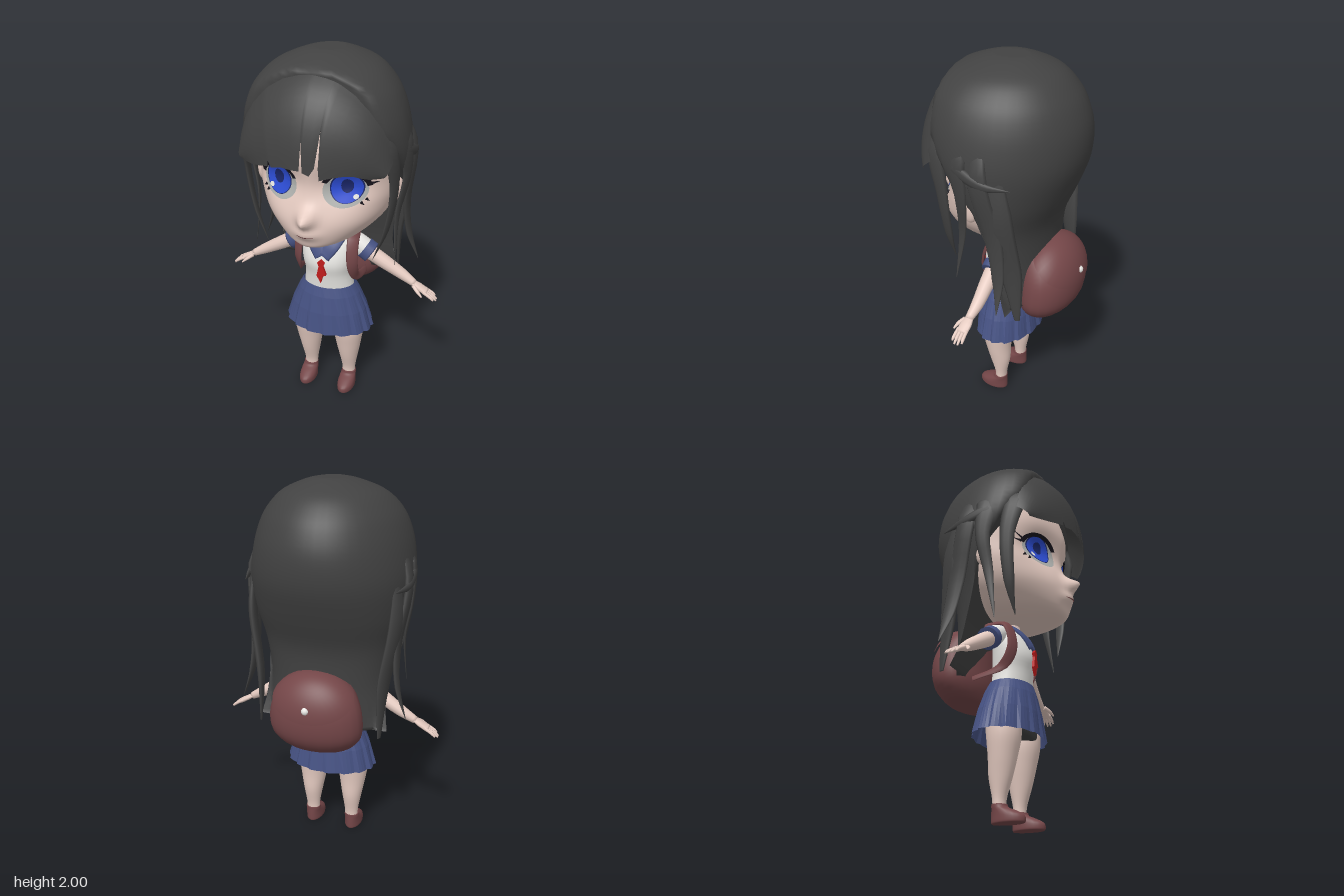
import * as THREE from 'three';

const V = (x, y, z) => new THREE.Vector3(x, y, z);
const paint = (name, color, side = THREE.FrontSide) => {
  const m = new THREE.MeshStandardMaterial({ color, side });
  m.name = name;
  return m;
};

export function createModel() {
  const model = new THREE.Group();
  model.name = 'schoolgirl';
  const hair = paint('charcoal hair', 0x424242, THREE.DoubleSide);
  const skin = paint('skin', 0xe5cbc1);
  const white = paint('shirt white', 0xefeeea);
  const navy = paint('uniform navy', 0x465283, THREE.DoubleSide);
  const brown = paint('leather brown', 0x744648);
  const red = paint('scarf red', 0xc01c1c);
  const grey = paint('eye grey', 0xadafac);
  const blue = paint('iris blue', 0x2c4cd2);
  const dark = paint('pupil blue', 0x1a2668);
  const black = paint('lash black', 0x17141c);

  const add = (name, geo, mat) => {
    const mesh = new THREE.Mesh(geo, mat);
    mesh.name = name;
    model.add(mesh);
    return mesh;
  };

  // Skin a list of closed rings, facing outwards
  function loft(rings, caps = true, flat = false) {
    const n = rings[0].length, pts = rings.flat(), idx = [];
    for (let r = 0; r < rings.length - 1; r++)
      for (let i = 0; i < n; i++) {
        const a = r * n + i, b = r * n + (i + 1) % n;
        idx.push(a, b, a + n, b, b + n, a + n);
      }
    if (caps) [0, rings.length - 1].forEach((r) => {
      const c = V(0, 0, 0);
      rings[r].forEach((p) => c.addScaledVector(p, 1 / n));
      const k = pts.push(c) - 1;
      for (let i = 0; i < n; i++) {
        const a = r * n + i, b = r * n + (i + 1) % n;
        if (r) idx.push(a, b, k); else idx.push(b, a, k);
      }
    });
    const mid = pts.reduce((s, p) => s.addScaledVector(p, 1 / pts.length), V(0, 0, 0));
    const q = (i) => pts[idx[i]].clone().sub(mid);
    let vol = 0;
    for (let i = 0; i < idx.length; i += 3) vol += q(i).dot(q(i + 1).cross(q(i + 2)));
    if (vol < 0) idx.reverse();
    let g = new THREE.BufferGeometry().setFromPoints(pts);
    g.setIndex(idx);
    if (flat) g = g.toNonIndexed();
    g.computeVertexNormals();
    return g;
  }

  // Smoothly subdivide rows of numbers
  function refine(rows, k = 4) {
    const at = (i) => rows[Math.max(0, Math.min(rows.length - 1, i))], out = [];
    for (let i = 0; i < rows.length - 1; i++)
      for (let j = 0; j < k; j++) {
        const t = j / k;
        out.push(rows[i].map((b, c) => {
          const a = at(i - 1)[c], d = at(i + 2)[c], e = at(i + 1)[c];
          return 0.5 * (2 * b + (e - a) * t + (2 * a - 5 * b + 4 * e - d) * t * t + (3 * b - a - 3 * e + d) * t ** 3);
        }));
      }
    return [...out, rows[rows.length - 1]];
  }

  // Horizontal ring from [y, half width, front z, back z, z of widest point, front limit]
  const ring = ([y, rx, zf, zb, cz = (zf + zb) / 2, clip = 9], n = 24, cx = 0) =>
    Array.from({ length: n }, (_, i) => {
      const a = i / n * Math.PI * 2, s = Math.sin(a);
      return V(cx + rx * Math.cos(a), y, Math.min(clip, cz + s * (s > 0 ? zf - cz : cz - zb)));
    });
  const body = (name, rows, mat, cx = 0, n = 24) =>
    add(name, loft(refine(rows).map((r) => ring(r, n, cx))), mat);

  // Flattened tapering tube; widths run along it, ratio sets its thickness, up its flat side
  function strand(name, pts, widths, ratio, up, mat, s = 1, sides = 10) {
    const curve = new THREE.CatmullRomCurve3(pts.map((p) => V(p[0] * s, p[1], p[2])));
    const N = V(up[0] * s, up[1], up[2]), steps = pts.length * 4, rings = [];
    for (let i = 0; i <= steps; i++) {
      const t = i / steps, f = t * (widths.length - 1), k = Math.min(Math.floor(f), widths.length - 2);
      const w = THREE.MathUtils.lerp(widths[k], widths[k + 1], f - k);
      const T = curve.getTangent(t), S = T.clone().cross(N).normalize(), U = S.clone().cross(T);
      rings.push(Array.from({ length: sides }, (_, j) => {
        const a = j / sides * Math.PI * 2;
        return curve.getPoint(t).addScaledVector(S, w * Math.cos(a)).addScaledVector(U, w * ratio * Math.sin(a));
      }));
    }
    return add(name, loft(rings), mat);
  }

  // Head with nose, lips and shallow eye sockets
  const headRows = refine([
    [1.06, 0.10, 0.27, -0.03, 0], [1.075, 0.16, 0.315, -0.06, 0], [1.11, 0.23, 0.335, -0.1, 0],
    [1.2, 0.312, 0.345, -0.18, 0], [1.3, 0.352, 0.33, -0.24, 0], [1.4, 0.365, 0.315, -0.27, 0],
    [1.55, 0.37, 0.325, -0.28, 0], [1.72, 0.33, 0.28, -0.26, 0], [1.84, 0.23, 0.2, -0.2, 0], [1.9, 0.06, 0.06, -0.06, 0]], 8);
  const bump = (x, y, cy, w, h, d) => d * Math.exp(-((x / w) ** 2) - ((y - cy) / h) ** 2);
  const relief = (x, y) => bump(x, y, 1.245, 0.04, 0.045, 0.075) + bump(x, y, 1.16, 0.06, 0.03, 0.025)
    + bump(Math.abs(x) - 0.16, y, 1.41, 0.12, 0.11, -0.05);
  add('head', loft(headRows.map((r) => ring(r, 96).map((p) => {
    if (p.z > 0) p.z += relief(p.x, p.y);
    return p;
  }))), skin);
  const faceZ = (x, y) => {
    const i = Math.max(1, headRows.findIndex((r) => r[0] >= y)), a = headRows[i - 1], b = headRows[i];
    const t = (y - a[0]) / (b[0] - a[0]), L = THREE.MathUtils.lerp;
    return L(a[2], b[2], t) * Math.sqrt(Math.max(0, 1 - (x / L(a[1], b[1], t)) ** 2)) + relief(x, y);
  };

  // Thin patch laid on the face
  function patch(name, cx, cy, rx, ry, lift, mat, inner = 0, start = 0, len = Math.PI * 2) {
    const g = new THREE.RingGeometry(inner, 1, 32, 5, start, len), p = g.attributes.position;
    for (let i = 0; i < p.count; i++) {
      const x = cx + p.getX(i) * rx, y = cy + p.getY(i) * ry;
      p.setXYZ(i, x, y, faceZ(x, y) + lift);
    }
    g.computeVertexNormals();
    add(name, g, mat);
  }
  patch('mouth', 0, 1.155, 0.05, 0.003, 0.003, brown);

  for (const s of [1, -1]) {
    const side = s > 0 ? 'left' : 'right';
    // Eyes
    patch(side + 'EyeWhite', 0.168 * s, 1.388, 0.102, 0.086, 0.006, grey);
    patch(side + 'IrisRim', 0.176 * s, 1.4, 0.078, 0.078, 0.009, dark);
    patch(side + 'Iris', 0.176 * s, 1.398, 0.072, 0.073, 0.011, blue);
    patch(side + 'Pupil', 0.176 * s, 1.408, 0.029, 0.036, 0.013, dark);
    patch(side + 'EyeGlint', 0.218 * s, 1.355, 0.013, 0.012, 0.014, white);
    const arc = (a, l) => (s > 0 ? a : Math.PI - a - l);
    patch(side + 'UpperLash', 0.172 * s, 1.388, 0.118, 0.102, 0.013, black, 0.8, arc(0.2, 2.5), 2.5);
    for (const [x, y, X, Y] of [[0.265, 1.43, 0.315, 1.462], [0.275, 1.415, 0.312, 1.42], [0.24, 1.325, 0.255, 1.31], [0.26, 1.34, 0.275, 1.328]])
      strand(side + 'LashTip', [[x, y, faceZ(x, y) + 0.006], [X, Y, faceZ(X, Y) + 0.008]], [0.01, 0.001], 0.4, [0.5, 0, 1], black, s, 6);
    // Ear
    add(side + 'Ear', new THREE.SphereGeometry(1, 16, 12).scale(0.03, 0.075, 0.045).translate(0.365 * s, 1.34, 0.02), skin);

    // Loose locks of hair, rooted inside the crown
    const out = [1, 0, 0.25];
    strand(side + 'FaceLock', [[0.29, 1.78, 0.2], [0.365, 1.6, 0.2], [0.385, 1.4, 0.165], [0.35, 1.15, 0.16], [0.29, 0.98, 0.165]], [0.01, 0.06, 0.04, 0.028, 0.002], 0.35, out, hair, s);
    strand(side + 'TempleLock', [[0.32, 1.78, 0.07], [0.4, 1.6, 0.07], [0.415, 1.42, 0.04], [0.38, 1.2, 0.06], [0.39, 0.93, 0.1]], [0.01, 0.07, 0.04, 0.025, 0.002], 0.3, out, hair, s);
    strand(side + 'OuterLock', [[0.3, 1.82, -0.03], [0.415, 1.55, -0.05], [0.385, 1.2, -0.12], [0.4, 1, -0.15], [0.455, 0.83, -0.17]], [0.01, 0.055, 0.05, 0.035, 0.002], 0.35, [1, 0, 0], hair, s);
    strand(side + 'LongLock', [[0.36, 1.68, -0.12], [0.385, 1.35, -0.15], [0.335, 1, -0.19], [0.33, 0.73, -0.22]], [0.01, 0.065, 0.055, 0.015], 0.35, [1, 0, -0.3], hair, s);
    strand(side + 'SweptLock', [[0.35, 1.62, 0.19], [0.412, 1.56, 0.06], [0.425, 1.51, -0.08], [0.39, 1.5, -0.21]], [0.01, 0.035, 0.025, 0.002], 0.5, [1, 0, 0], hair, s);

    // Arm, sleeve and hand
    const up = [0.5, 0.86, 0];
    strand(side + 'Sleeve', [[0.09, 0.985, -0.005], [0.15, 0.96, -0.01], [0.2, 0.928, -0.015]], [0.05, 0.056, 0.055], 1, up, white, s, 16);
    strand(side + 'Cuff', [[0.192, 0.934, -0.015], [0.232, 0.908, -0.015]], [0.06, 0.06], 1, up, navy, s, 16);
    strand(side + 'Arm', [[0.2, 0.925, -0.015], [0.3, 0.865, -0.02], [0.4, 0.805, -0.025], [0.475, 0.762, -0.02]], [0.044, 0.04, 0.032, 0.021], 0.95, up, skin, s, 14);
    strand(side + 'Palm', [[0.46, 0.77, -0.02], [0.5, 0.748, -0.02], [0.545, 0.722, -0.018]], [0.021, 0.032, 0.033], 0.42, up, skin, s);
    for (let f = 0; f < 4; f++)
      strand(side + 'Finger', [[0.53, 0.732, -0.041 + f * 0.016], [0.575, 0.705, -0.045 + f * 0.018], [f % 3 ? 0.6 : 0.588, f % 3 ? 0.685 : 0.692, -0.047 + f * 0.019]], [0.01, 0.009, 0.005], 0.9, up, skin, s, 8);
    strand(side + 'Thumb', [[0.475, 0.758, 0], [0.505, 0.738, 0.025], [0.53, 0.718, 0.037]], [0.014, 0.011, 0.005], 0.8, up, skin, s, 8);

    // Leg and shoe
    body(side + 'Leg', [[0.56, 0.08, 0.11, -0.08], [0.43, 0.088, 0.112, -0.065], [0.32, 0.074, 0.09, -0.055], [0.22, 0.056, 0.066, -0.052], [0.12, 0.039, 0.036, -0.033], [0.06, 0.038, 0.034, -0.03]], skin, 0.118 * s);
    body(side + 'Shoe', [[0, 0.044, 0.128, -0.034], [0.008, 0.049, 0.135, -0.037], [0.035, 0.049, 0.13, -0.037], [0.058, 0.046, 0.09, -0.036], [0.075, 0.043, 0.05, -0.035], [0.09, 0.041, 0.042, -0.035]], brown, 0.12 * s);

    // Collar half and bag strap
    strand(side + 'Collar', [[0.075, 1.03, -0.05], [0.083, 1.035, 0.03], [0.05, 0.98, 0.1], [0.004, 0.918, 0.128]], [0.03, 0.033, 0.04, 0.04], 0.2, [0.2, 0.6, 1], navy, s);
    strand(side + 'Strap', [[0.12, 0.97, -0.16], [0.14, 1.03, -0.04], [0.148, 1.01, 0.05], [0.155, 0.88, 0.088], [0.163, 0.78, 0.04], [0.17, 0.73, -0.13]], [0.028, 0.033, 0.03, 0.018], 0.25, [0.45, 0.4, 0.8], brown, s);
  }

  // Neck and shirt
  body('neck', [[0.94, 0.05, 0.1, -0.04], [0.99, 0.052, 0.098, -0.04], [1.04, 0.05, 0.06, -0.045], [1.12, 0.055, 0.06, -0.05]], skin);
  body('shirt', [[0.69, 0.142, 0.112, -0.09], [0.78, 0.132, 0.122, -0.082], [0.86, 0.143, 0.136, -0.08], [0.94, 0.145, 0.116, -0.08], [1, 0.12, 0.085, -0.07], [1.04, 0.065, 0.045, -0.055]], white);

  // Scarf knot and tails
  const scarf = new THREE.Shape([[0, 0.905], [0.02, 0.885], [0.012, 0.865], [0.03, 0.815], [0.01, 0.805], [0, 0.762], [-0.024, 0.805], [-0.012, 0.865], [-0.02, 0.885]].map((p) => new THREE.Vector2(...p)));
  add('scarf', new THREE.ExtrudeGeometry(scarf, { depth: 0.014, bevelEnabled: false }).translate(0, 0, 0.138), red);

  // Pleated skirt and shorts
  const skirtRows = [[0.715, 0.146, 0.124, -0.1], [0.66, 0.175, 0.14, -0.125], [0.56, 0.215, 0.158, -0.152], [0.435, 0.25, 0.172, -0.172]];
  add('skirt', loft(skirtRows.map((r, k) => ring(r, 64).map((p, i) => {
    const f = 1 + [0, 0.006, 0.018, 0.03][k] * [-1, -0.2, 0.4, 1][i % 4];
    return V(p.x * f, p.y, p.z * f);
  })), false, true), navy);
  body('shorts', [[0.62, 0.17, 0.125, -0.11], [0.5, 0.202, 0.125, -0.1], [0.45, 0.2, 0.12, -0.09], [0.437, 0.18, 0.1, -0.08]], hair);

  // Hair over crown and down the back
  body('backHair', [
    [1.998, 0.07, 0.08, -0.09, 0, 0.25], [1.982, 0.14, 0.15, -0.15, 0.01, 0.25], [1.935, 0.25, 0.27, -0.255, 0.03, 0.25],
    [1.87, 0.322, 0.36, -0.325, 0.05, 0.25], [1.79, 0.372, 0.4, -0.375, 0.06, 0.25], [1.67, 0.41, 0.4, -0.408, 0.06, 0.23],
    [1.52, 0.425, 0.36, -0.4, 0.03, 0.13], [1.35, 0.395, 0.26, -0.34, -0.02, 0.01], [1.18, 0.35, 0.2, -0.272, -0.03, -0.04],
    [1, 0.325, 0.1, -0.255, -0.03, -0.09], [0.85, 0.335, 0.1, -0.25, -0.03, -0.12], [0.74, 0.355, 0.1, -0.24, -0.03, -0.16]], hair, 0, 48);

  // Fringe: columns of [position across, length], short ones make the gaps
  const cuts = [[-1, 1], [-0.9, 1], [-0.75, 0.98], [-0.6, 0.96], [-0.45, 0.94], [-0.43, 0.88], [-0.4, 0.95], [-0.25, 0.93], [-0.1, 0.94], [0, 0.94], [0.015, 0.7], [0.04, 0.95],
    [0.13, 0.97], [0.19, 0.9], [0.205, 0.55], [0.235, 0.9], [0.26, 1], [0.4, 0.97], [0.55, 0.94], [0.65, 0.93], [0.72, 0.95], [0.85, 1], [1, 1.03]];
  const fringe = [], faces = [], R = 10;
  cuts.forEach(([u, len], c) => {
    const a = u * 1.45;
    const A = V(0.39 * Math.sin(a), 1.5 + 0.428 * Math.cos(a), 0.245 - 0.03 * u * u), B = V(0.36 * u, 1.49, 0.42 - 0.14 * u * u);
    const C = V((A.x + B.x) * 0.515, A.y - 0.12 * (1 - 0.6 * u * u), B.z + 0.005);
    const curve = new THREE.QuadraticBezierCurve3(A, C, B);
    for (let r = 0; r <= R; r++) {
      fringe.push(curve.getPoint(r / R * len));
      const k = c * (R + 1) + r;
      if (c && r) faces.push(k - 1, k - R - 2, k - R - 1, k - 1, k - R - 1, k);
    }
  });
  const fringeGeo = new THREE.BufferGeometry().setFromPoints(fringe);
  fringeGeo.setIndex(faces);
  fringeGeo.computeVertexNormals();
  add('fringe', fringeGeo, hair);

  // Backpack with flap and clasp
  body('backpack', [[0.635, 0.1, -0.16, -0.27], [0.655, 0.18, -0.12, -0.34], [0.73, 0.242, -0.1, -0.4], [0.83, 0.248, -0.1, -0.417], [0.93, 0.222, -0.1, -0.4], [1.02, 0.16, -0.1, -0.335], [1.06, 0.07, -0.13, -0.26]], brown);
  add('backpackFlap', new THREE.SphereGeometry(1, 28, 10, 0, Math.PI * 2, 0, 1.05).rotateX(-0.55).scale(0.25, 0.222, 0.168).translate(0, 0.853, -0.257), brown);
  add('backpackClasp', new THREE.SphereGeometry(0.021, 12, 8).translate(0, 0.915, -0.408), white);
  return model;
}
